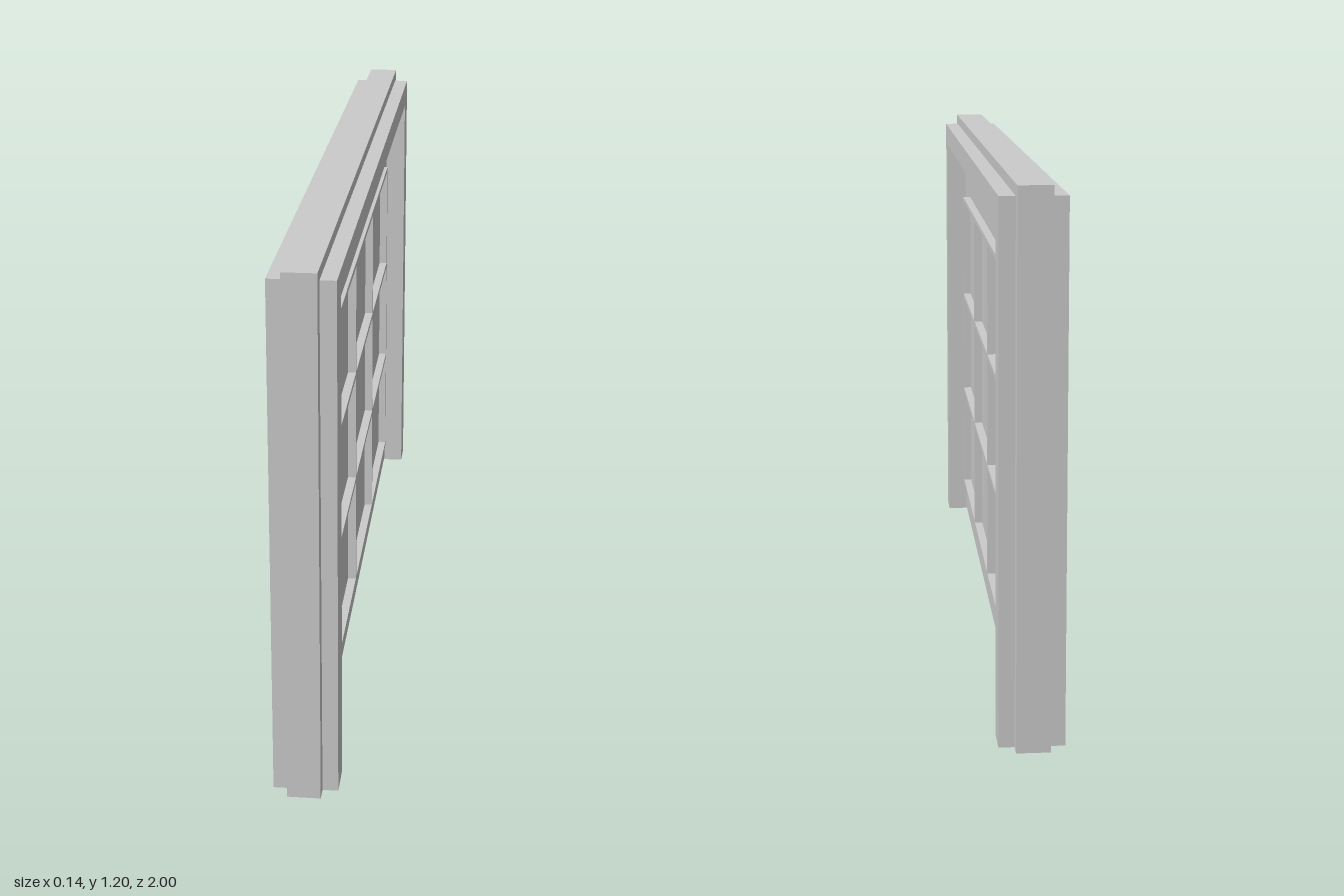
import * as THREE from 'three';

const H = 1.204;        // overall height
const OPEN_Z = 0.887;   // half width of the opening
const OPEN_Y = 1.122;   // height of the opening
const DOOR_X = 0.019;   // half thickness of the door leaf
const BAR = 0.012, BAR_DEPTH = 0.02;

const material = new THREE.MeshStandardMaterial({ color: 0xcccccc });

// Box given by its limits on each axis
function block(name, [x0, x1], [y0, y1], [z0, z1]) {
  const mesh = new THREE.Mesh(new THREE.BoxGeometry(x1 - x0, y1 - y0, z1 - z0), material);
  mesh.position.set((x0 + x1) / 2, (y0 + y1) / 2, (z0 + z1) / 2);
  mesh.name = name;
  return mesh;
}

// Three-sided surround (two legs and a head), extruded along x
function surround(name, halfZ, top, x0, x1) {
  const shape = new THREE.Shape([
    [-halfZ, 0], [-OPEN_Z, 0], [-OPEN_Z, OPEN_Y], [OPEN_Z, OPEN_Y],
    [OPEN_Z, 0], [halfZ, 0], [halfZ, top], [-halfZ, top],
  ].map(([z, y]) => new THREE.Vector2(z, y)));
  const geometry = new THREE.ExtrudeGeometry(shape, { depth: x1 - x0, bevelEnabled: false });
  geometry.rotateY(Math.PI / 2).translate(x0, 0, 0);
  const mesh = new THREE.Mesh(geometry, material);
  mesh.name = name;
  return mesh;
}

// Raised grid of moulding bars: three columns, rows between the given heights
function mouldingGrid(name, side, heights) {
  const group = new THREE.Group();
  group.name = name;
  const halfZ = 0.677, h = BAR / 2;
  const xs = side > 0 ? [DOOR_X, DOOR_X + BAR_DEPTH] : [-DOOR_X - BAR_DEPTH, -DOOR_X];
  for (const y of heights) {
    group.add(block('horizontalBar', xs, [y - h, y + h], [-halfZ - h, halfZ + h]));
  }
  for (let row = 0; row < heights.length - 1; row++) {
    for (let i = 0; i < 4; i++) {
      const z = -halfZ + (i * 2 * halfZ) / 3;
      group.add(block('verticalBar', xs, [heights[row] + h, heights[row + 1] - h], [z - h, z + h]));
    }
  }
  return group;
}

export function createModel() {
  const model = new THREE.Group();
  model.name = 'panelDoor';

  // Frame with a casing on each face
  model.add(surround('frame', 1, H, -0.037, 0.037));
  model.add(surround('leftCasing', 0.966, 1.179, 0.037, 0.072));
  model.add(surround('rightCasing', 0.966, 1.179, -0.072, -0.037));

  // Door leaf with small clearance above and below
  model.add(block('doorLeaf', [-DOOR_X, DOOR_X], [0.006, OPEN_Y - 0.004], [-OPEN_Z, OPEN_Z]));

  // Full grid on one face, top and bottom rows only on the other
  const rows = [0.143, 0.424, 0.703, 0.984];
  model.add(mouldingGrid('leftMoulding', 1, rows));
  model.add(mouldingGrid('rightLowerMoulding', -1, rows.slice(0, 2)));
  model.add(mouldingGrid('rightUpperMoulding', -1, rows.slice(2)));

  return model;
}
